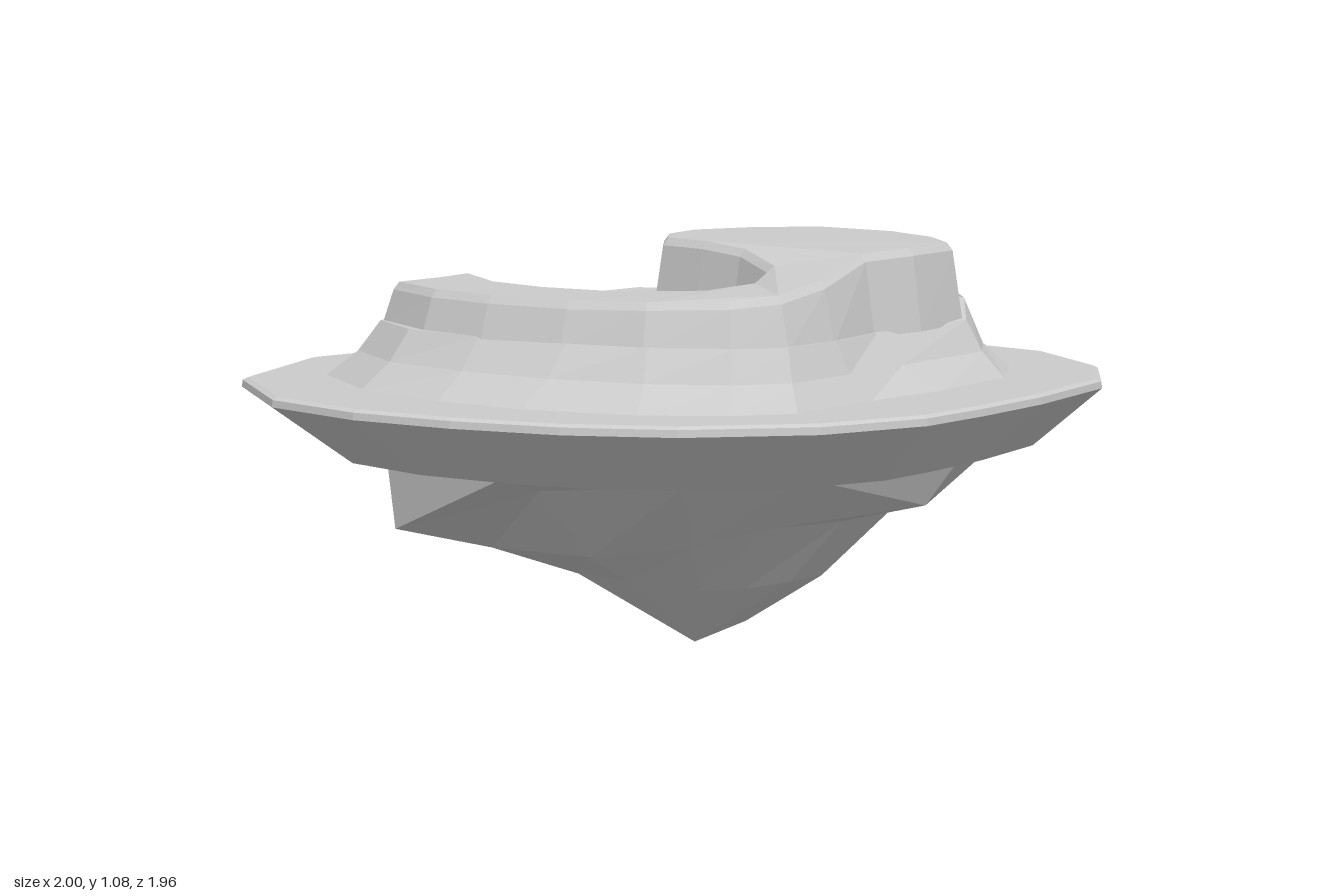
import * as THREE from 'three';

const material = new THREE.MeshStandardMaterial({ color: 0xcccccc, flatShading: true, side: THREE.DoubleSide });

// Skin over a stack of closed rings ([x, y, z] points, counterclockwise from above), listed bottom to top.
// The caps are filled piece by piece, each piece being a list of ring indices; no pieces leaves an end open.
function loft(name, rings, bottomPieces, topPieces) {
  const n = rings[0].length;
  const index = [];
  for (let r = 0; r < rings.length - 1; r++) {
    for (let i = 0; i < n; i++) {
      const a = r * n + i, b = r * n + (i + 1) % n;
      index.push(a, b, b + n, a, b + n, a + n);
    }
  }
  const cap = (r, pieces, flip) => {
    for (const piece of pieces) {
      const outline = piece.map((i) => new THREE.Vector2(rings[r][i][0], -rings[r][i][2]));
      for (const [a, b, c] of THREE.ShapeUtils.triangulateShape(outline, [])) {
        index.push(r * n + piece[a], r * n + piece[flip ? c : b], r * n + piece[flip ? b : c]);
      }
    }
  };
  cap(0, bottomPieces, true);
  cap(rings.length - 1, topPieces, false);
  const geometry = new THREE.BufferGeometry();
  geometry.setAttribute('position', new THREE.Float32BufferAttribute(rings.flat(2), 3));
  geometry.setIndex(index);
  geometry.computeVertexNormals();
  const mesh = new THREE.Mesh(geometry, material);
  mesh.name = name;
  return mesh;
}

const OPEN = [];
const whole = (ring) => [ring.map((_, i) => i)];

// Push a ring outwards by d, and set new heights
function offset(ring, d, height) {
  const n = ring.length;
  return ring.map(([x, y, z], i) => {
    const p = ring[(i + n - 1) % n], q = ring[(i + 1) % n];
    const dx = q[0] - p[0], dz = q[2] - p[2], l = Math.hypot(dx, dz);
    return [x - dz / l * d, height(x, y, z), z + dx / l * d];
  });
}

// Outline of the island's brim, [x, z]
const brim = [
  [-0.37, -0.98], [-0.76, -0.84], [-0.97, -0.52], [-1, -0.22], [-0.96, 0.05], [-0.88, 0.32], [-0.75, 0.56],
  [-0.52, 0.8], [-0.26, 0.93], [-0.05, 0.96], [0.2, 0.98], [0.54, 0.97], [0.77, 0.84], [0.95, 0.58],
  [0.98, 0.25], [0.95, 0], [1, -0.18], [0.95, -0.46], [0.66, -0.76], [0, -0.89],
];

// Lower rock: radius and height of four ledges, every 30 degrees from +x towards +z
const CX = 0.1, CZ = 0.04;
const spokes = [
  [0.72, 0.56, 0.64, 0.43, 0.52, 0.36, 0.38, 0.18],
  [0.74, 0.56, 0.56, 0.43, 0.46, 0.36, 0.36, 0.18],
  [0.77, 0.56, 0.58, 0.39, 0.48, 0.36, 0.30, 0.18],
  [0.76, 0.56, 0.67, 0.44, 0.42, 0.37, 0.26, 0.19],
  [0.78, 0.56, 0.56, 0.53, 0.38, 0.37, 0.22, 0.18],
  [0.80, 0.56, 0.64, 0.53, 0.44, 0.34, 0.27, 0.19],
  [0.86, 0.56, 0.72, 0.51, 0.52, 0.31, 0.36, 0.22],
  [0.90, 0.56, 0.88, 0.37, 0.62, 0.30, 0.38, 0.21],
  [0.88, 0.56, 0.67, 0.37, 0.52, 0.34, 0.33, 0.19],
  [0.83, 0.56, 0.65, 0.35, 0.46, 0.34, 0.34, 0.18],
  [0.74, 0.56, 0.54, 0.53, 0.38, 0.36, 0.31, 0.18],
  [0.75, 0.56, 0.66, 0.53, 0.46, 0.36, 0.33, 0.18],
];

function lowerRock() {
  const rings = [[], [], [], [], []];
  for (let i = 11; i >= 0; i--) {
    const c = Math.cos(i * Math.PI / 6), s = Math.sin(i * Math.PI / 6), row = spokes[i];
    // the tip closes to a short ridge along x
    rings[0].push(c > 0 ? [0.27, 0.015, CZ] : [0.03, 0.003, CZ]);
    for (let k = 0; k < 4; k++) rings[4 - k].push([CX + row[2 * k] * c, row[2 * k + 1], CZ + row[2 * k] * s]);
  }
  return loft('lowerRock', rings, OPEN, OPEN);
}

// Lower hill: foot x, z then ledge x, z, y
const hill = [
  [-0.78, -0.15, -0.63, -0.14, 0.88], [-0.76, 0.1, -0.61, 0.12, 0.88], [-0.67, 0.38, -0.56, 0.33, 0.88],
  [-0.55, 0.56, -0.46, 0.51, 0.88], [-0.42, 0.67, -0.36, 0.6, 0.88], [-0.15, 0.7, -0.18, 0.62, 0.88],
  [0.1, 0.75, 0.02, 0.61, 0.88], [0.41, 0.76, 0.39, 0.65, 0.88], [0.6, 0.67, 0.53, 0.56, 0.92],
  [0.5, 0.55, 0.55, 0.51, 0.94], [0.5, 0.34, 0.6, 0.34, 0.94], [0.62, 0.29, 0.61, 0.27, 0.94],
  [0.75, 0.27, 0.64, 0.24, 0.93], [0.73, 0.02, 0.65, 0.04, 0.88], [0.79, -0.2, 0.71, -0.14, 0.87],
  [0.77, -0.37, 0.69, -0.33, 0.87], [0.56, -0.6, 0.52, -0.52, 0.88], [0.17, -0.67, 0.18, -0.58, 0.88],
  [-0.1, -0.69, -0.05, -0.53, 0.88], [-0.4, -0.8, -0.25, -0.58, 0.88], [-0.6, -0.7, -0.52, -0.57, 0.88],
  [-0.74, -0.44, -0.62, -0.38, 0.88],
];

// Spiral shelf climbing from the back left, round the front, to the summit: x, y, z
const shelf = [
  [-0.22, 0.98, -0.53], [-0.34, 0.98, -0.52], [-0.49, 0.98, -0.53], [-0.57, 0.98, -0.33], [-0.59, 0.98, -0.13],
  [-0.57, 0.98, 0.1], [-0.52, 0.985, 0.3], [-0.42, 0.99, 0.47], [-0.33, 1.0, 0.55], [-0.18, 1.025, 0.57],
  [0.02, 1.075, 0.56], [0.18, 1.08, 0.6], [0.37, 1.08, 0.6], [0.49, 1.08, 0.48], [0.58, 1.08, 0.3],
  [0.59, 1.08, 0.06], [0.46, 1.08, -0.08], [0.3, 1.08, -0.16], [0.16, 1.08, -0.14], [0.06, 1.08, -0.07],
  [0.03, 1.08, 0.08], [0, 1.07, 0.22], [-0.07, 1.04, 0.36], [-0.17, 1.005, 0.37], [-0.27, 0.99, 0.29],
  [-0.34, 0.98, 0.08], [-0.37, 0.98, -0.15], [-0.34, 0.98, -0.34],
];
const shelfSteps = [
  [0, 1, 2, 3, 27], [3, 4, 26, 27], [4, 5, 25, 26], [5, 6, 24, 25], [6, 7, 8, 23, 24], [8, 9, 22, 23],
  [9, 10, 21, 22], [10, 11, 12, 13, 14, 15, 16, 17, 18, 19, 20, 21],
];

export function createModel() {
  const island = new THREE.Group();
  island.name = 'floatingIsland';

  // Sloping rock under the brim, with flat ledges around the lower rock
  const edge = brim.map(([x, z]) => [x, 0.71, z]);
  const ledge = brim.map(([x, z]) => [CX + (x - CX) * 0.83, 0.555, CZ + (z - CZ) * 0.83]);
  island.add(loft('brimRock', [ledge, edge], whole(ledge), OPEN));
  island.add(lowerRock());

  // Thin turf slab with a slightly rounded edge
  island.add(loft('turf', [
    edge,
    edge.map(([x, , z]) => [x * 0.998, 0.728, z * 0.998]),
    edge.map(([x, , z]) => [x * 0.985, 0.735, z * 0.985]),
  ], OPEN, whole(edge)));

  // Hill with a flared foot and an undercut notch at the start of the path
  const foot = hill.map(([x, z]) => [x, 0.73, z]);
  const flare = hill.map(([x, z, u, w]) => [x + (u - x) * 0.6, 0.8, z + (w - z) * 0.6]);
  const top = hill.map(([, , x, z, y]) => [x, y, z]);
  island.add(loft('lowerHill', [foot, flare, top], OPEN, whole(top)));

  // Spiral shelf and summit with a bevelled lip, overhanging the notch
  island.add(loft('spiralShelf', [
    offset(shelf, 0.045, (x, y, z) => (x > 0.48 && z > 0.25 ? 0.935 : 0.87)),
    offset(shelf, 0.015, (x, y) => y - 0.02),
    shelf,
  ], whole(shelf), shelfSteps));

  // Sloping floor that climbs to the inner end of the path
  const floor = [[-0.37, 0.88, 0.08], [-0.2, 0.97, 0.38], [-0.04, 0.97, 0.36], [0.06, 0.88, 0.08]];
  island.add(loft('pathEnd', [floor.map(([x, , z]) => [x, 0.87, z]), floor], OPEN, whole(floor)));

  return island;
}
